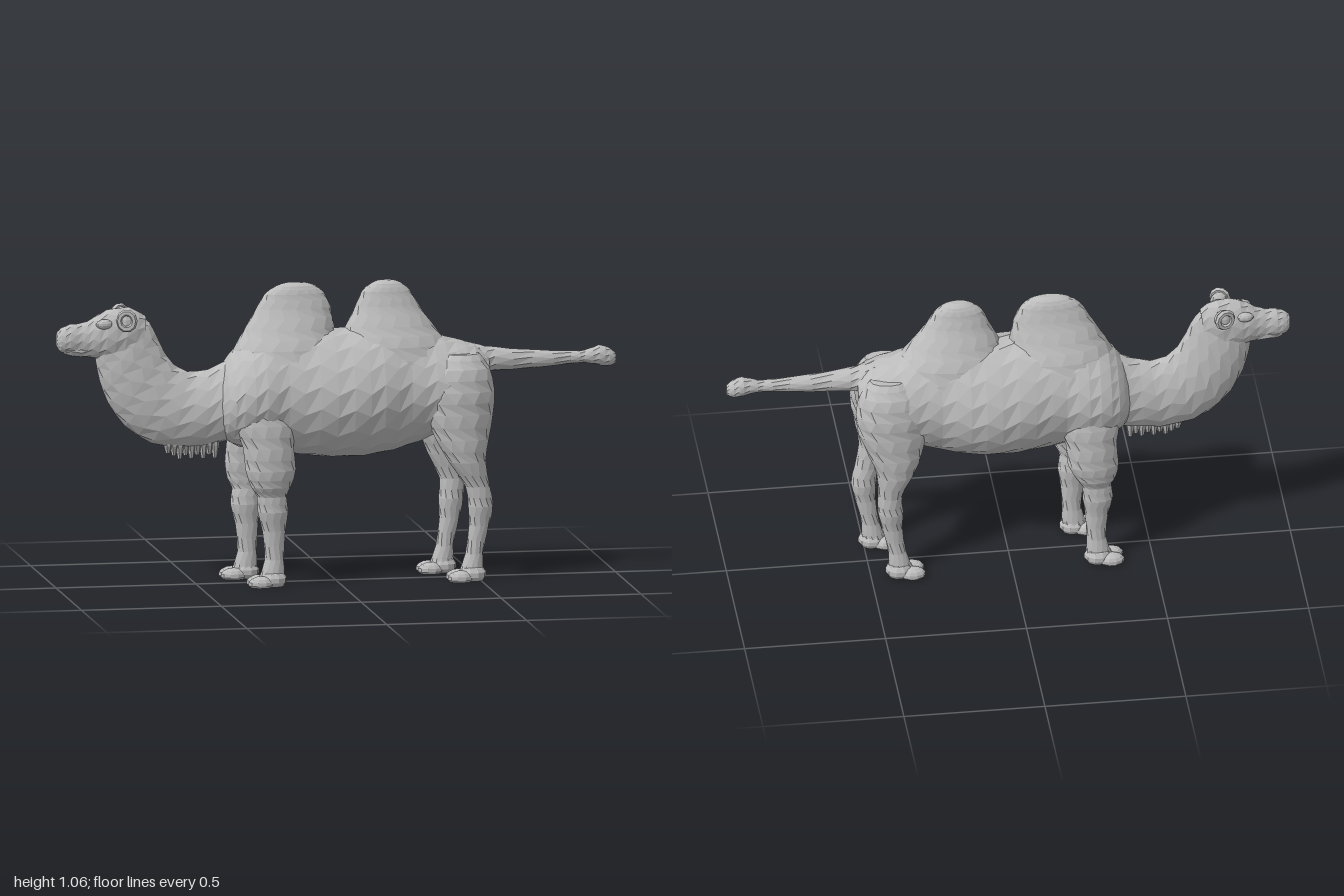
import * as THREE from 'three';

const hide = new THREE.MeshStandardMaterial({ color: 0xbcbcbc, flatShading: true });
hide.name = 'grey hide';

// Closed loft. Each section is [x1, y1, x2, y2, halfWidth, z]: two opposite rim
// points in the side plane plus the half width across z. "taper" narrows the
// half of each ring nearest point 1.
function loft(name, sections, { sides = 14, steps = 2, taper = 0 } = {}) {
  const n = sections.length, rows = [];
  const at = (i, k) => sections[Math.min(n - 1, Math.max(0, i))][k] ?? 0;
  for (let r = 0; r <= (n - 1) * steps; r++) {
    const i = Math.min(n - 2, Math.floor(r / steps)), t = r / steps - i;
    rows.push([0, 1, 2, 3, 4, 5].map(k => {
      const a = at(i - 1, k), b = at(i, k), c = at(i + 1, k), d = at(i + 2, k);
      return b + 0.5 * t * (c - a + t * (2 * a - 5 * b + 4 * c - d + t * (3 * (b - c) + d - a)));
    }));
  }
  const pos = [], index = [];
  rows.forEach(([x1, y1, x2, y2, w, z], r) => {
    for (let j = 0; j < sides; j++) {
      const a = (j + (r % 2) * 0.35) / sides * Math.PI * 2, c = Math.cos(a);
      pos.push((x1 + x2) / 2 + c * (x1 - x2) / 2, (y1 + y2) / 2 + c * (y1 - y2) / 2,
        z + w * Math.sin(a) * (1 - taper * Math.max(0, c)));
    }
  });
  for (let r = 0; r < rows.length - 1; r++) {
    for (let j = 0; j < sides; j++) {
      const a = r * sides + j, b = r * sides + (j + 1) % sides;
      index.push(a, b, a + sides, b, b + sides, a + sides);
    }
  }
  // end caps
  [0, rows.length - 1].forEach((r, end) => {
    const [x1, y1, x2, y2, , z] = rows[r], mid = pos.length / 3;
    pos.push((x1 + x2) / 2, (y1 + y2) / 2, z);
    for (let j = 0; j < sides; j++) {
      const a = r * sides + j, b = r * sides + (j + 1) % sides;
      index.push(mid, end ? a : b, end ? b : a);
    }
  });
  const g = new THREE.BufferGeometry();
  g.setAttribute('position', new THREE.Float32BufferAttribute(pos, 3));
  g.setIndex(index);
  g.computeVertexNormals();
  return named(name, g);
}

function named(name, geometry) {
  const m = new THREE.Mesh(geometry, hide);
  m.name = name;
  return m;
}

function ellipsoid(name, x, y, z, rx, ry, rz) {
  const g = new THREE.SphereGeometry(1, 10, 7).scale(rx, ry, rz).translate(x, y, z);
  const p = g.attributes.position;
  for (let i = 0; i < p.count; i++) p.setY(i, Math.max(0.004, p.getY(i)));
  return named(name, g);
}

// Leg rows: [y, backX, frontX, halfWidth, z]; the right legs step forward.
function leg(name, side, rows, foot, stride) {
  const group = new THREE.Group();
  group.name = name;
  const shift = y => side > 0 ? 0 : -stride * Math.min(1, Math.max(0, (0.62 - y) / 0.35));
  group.add(loft(name + 'Limb', rows.map(([y, b, f, w, z]) =>
    [b + shift(y), y, f + shift(y), y, w, side * z]), { sides: 12 }));
  const fx = foot + shift(0);
  group.add(ellipsoid('heel', fx + 0.022, 0.028, side * 0.102, 0.05, 0.036, 0.043));
  for (const t of [-1, 1])
    group.add(ellipsoid('toe', fx - 0.024, 0.018, side * 0.102 + t * 0.022, 0.046, 0.027, 0.029));
  return group;
}

export function createModel() {
  const model = new THREE.Group();
  model.name = 'camel';

  // torso: [x, top, bottom, halfWidth]
  const torso = [
    [-0.425, 0.74, 0.55, 0.075], [-0.40, 0.79, 0.52, 0.125], [-0.35, 0.85, 0.49, 0.158],
    [-0.27, 0.89, 0.475, 0.168], [-0.19, 0.91, 0.465, 0.158], [-0.08, 0.91, 0.45, 0.175],
    [0.04, 0.905, 0.443, 0.186], [0.15, 0.91, 0.452, 0.175], [0.25, 0.90, 0.475, 0.148],
    [0.34, 0.88, 0.51, 0.15], [0.42, 0.855, 0.56, 0.15], [0.49, 0.835, 0.61, 0.125], [0.54, 0.80, 0.68, 0.07],
  ];
  model.add(loft('torso', torso.map(([x, t, b, w]) => [x, t, x, b, w]), { sides: 18, taper: 0.16 }));

  // humps: [y, frontX, backX, halfWidth]
  const humps = {
    frontHump: [[0.76, -0.405, 0.03, 0.14], [0.84, -0.365, 0.015, 0.115], [0.91, -0.325, -0.005, 0.082],
      [0.98, -0.285, -0.018, 0.052], [1.03, -0.255, -0.042, 0.038], [1.057, -0.215, -0.075, 0.027], [1.068, -0.18, -0.11, 0.012]],
    rearHump: [[0.76, -0.03, 0.45, 0.13], [0.84, 0.0, 0.40, 0.112], [0.91, 0.035, 0.345, 0.082],
      [0.98, 0.07, 0.295, 0.052], [1.03, 0.092, 0.265, 0.038], [1.057, 0.125, 0.235, 0.027], [1.068, 0.15, 0.205, 0.012]],
  };
  for (const [name, rows] of Object.entries(humps))
    model.add(loft(name, rows.map(([y, f, b, w]) => [f, y, b, y, w]), { sides: 16 }));

  // neck and head, each running from the front backwards
  model.add(loft('neck', [
    [-0.72, 0.985, -0.86, 0.815, 0.042], [-0.665, 0.94, -0.845, 0.74, 0.052],
    [-0.63, 0.87, -0.815, 0.66, 0.058], [-0.60, 0.815, -0.755, 0.575, 0.063],
    [-0.56, 0.777, -0.66, 0.51, 0.068], [-0.50, 0.762, -0.54, 0.49, 0.075],
    [-0.42, 0.785, -0.42, 0.505, 0.09], [-0.33, 0.83, -0.33, 0.53, 0.11]], { taper: 0.2 }));
  model.add(loft('head', [
    [-0.998, 0.912, -0.998, 0.865, 0.016], [-0.985, 0.928, -0.985, 0.845, 0.029],
    [-0.95, 0.943, -0.955, 0.835, 0.036], [-0.91, 0.946, -0.91, 0.828, 0.034],
    [-0.87, 0.962, -0.875, 0.822, 0.042], [-0.82, 0.99, -0.83, 0.81, 0.053],
    [-0.74, 0.998, -0.77, 0.80, 0.054], [-0.68, 0.965, -0.70, 0.82, 0.035]], { sides: 12 }));
  model.add(loft('lowerLip', [
    [-0.975, 0.865, -0.975, 0.84, 0.016], [-0.95, 0.87, -0.95, 0.828, 0.027],
    [-0.88, 0.88, -0.88, 0.822, 0.03]], { sides: 8 }));

  for (const s of [-1, 1]) {
    const side = s > 0 ? 'left' : 'right';
    // brow and cupped ear
    model.add(ellipsoid(side + 'Brow', -0.835, 0.945, s * 0.042, 0.03, 0.018, 0.016));
    const ear = new THREE.Group();
    ear.name = side + 'Ear';
    ear.add(ellipsoid('earBase', -0.755, 0.955, s * 0.058, 0.032, 0.036, 0.02));
    const rim = named('earRim', new THREE.TorusGeometry(0.027, 0.011, 6, 10));
    rim.scale.y = 1.1;
    rim.position.set(-0.76, 0.96, s * 0.073);
    rim.rotation.y = -s * 0.3;
    ear.add(rim);
    model.add(ear);

    model.add(leg(side + 'Foreleg', s, [
      [0.66, -0.20, -0.36, 0.045, 0.10], [0.58, -0.165, -0.375, 0.06, 0.098],
      [0.50, -0.17, -0.35, 0.06, 0.103], [0.42, -0.162, -0.342, 0.055, 0.108],
      [0.36, -0.18, -0.322, 0.045, 0.108], [0.325, -0.195, -0.30, 0.035, 0.102],
      [0.27, -0.188, -0.297, 0.038, 0.10], [0.20, -0.198, -0.28, 0.028, 0.098],
      [0.10, -0.203, -0.272, 0.026, 0.098], [0.03, -0.20, -0.295, 0.036, 0.10]], -0.265, 0.062));
    model.add(leg(side + 'HindLeg', s, [
      [0.81, 0.50, 0.37, 0.04, 0.075], [0.76, 0.535, 0.325, 0.068, 0.08],
      [0.68, 0.552, 0.30, 0.078, 0.085], [0.60, 0.547, 0.305, 0.075, 0.088],
      [0.51, 0.53, 0.34, 0.062, 0.098], [0.43, 0.517, 0.385, 0.05, 0.104],
      [0.34, 0.532, 0.445, 0.036, 0.102], [0.27, 0.545, 0.455, 0.038, 0.10],
      [0.20, 0.53, 0.458, 0.028, 0.098], [0.10, 0.508, 0.445, 0.026, 0.098],
      [0.03, 0.51, 0.42, 0.036, 0.10]], 0.448, 0.07));
  }

  // throat fringe: a row of hanging tufts
  const fringe = new THREE.Group();
  fringe.name = 'throatFringe';
  for (let i = 0; i < 9; i++) {
    const x = -0.60 + i * 0.021, low = 0.452 + (i % 2) * 0.012 + (i === 0 ? 0.02 : 0);
    fringe.add(loft('tuft', [[x + 0.018, 0.56, x - 0.018, 0.56, 0.04],
      [x + 0.015, 0.50, x - 0.016, 0.50, 0.028], [x + 0.008, low, x - 0.008, low, 0.008]], { sides: 7, steps: 1 }));
  }
  model.add(fringe);

  // outstretched tail with a tufted tip
  model.add(loft('tail', [
    [0.44, 0.85, 0.47, 0.73, 0.07], [0.51, 0.83, 0.53, 0.73, 0.05], [0.56, 0.82, 0.57, 0.733, 0.04],
    [0.70, 0.805, 0.70, 0.738, 0.029], [0.84, 0.797, 0.84, 0.75, 0.021], [0.89, 0.798, 0.89, 0.752, 0.022],
    [0.94, 0.815, 0.94, 0.742, 0.03], [0.975, 0.805, 0.975, 0.737, 0.027], [1.0, 0.785, 1.0, 0.748, 0.015]], { sides: 10 }));

  return model;
}
